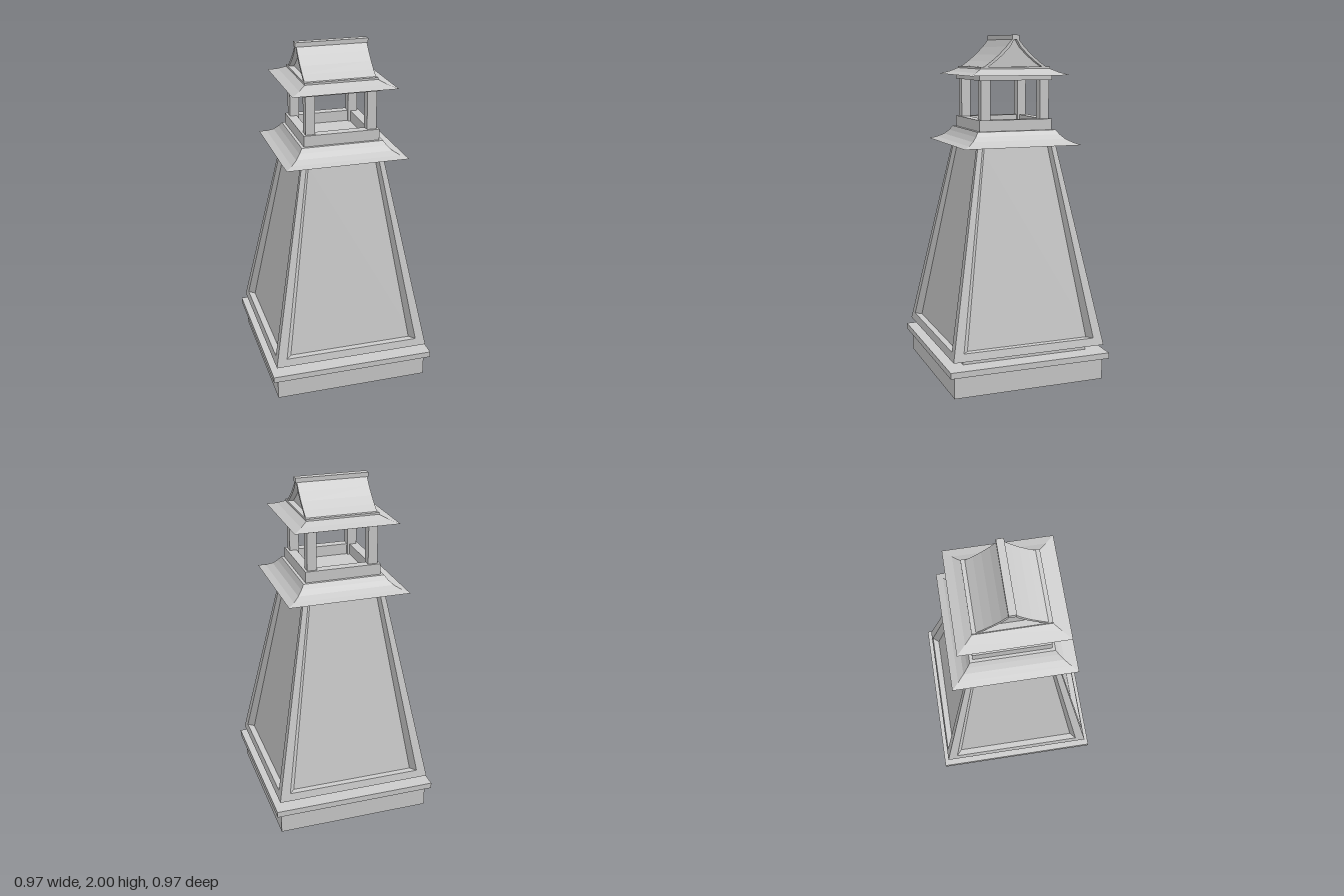
import * as THREE from 'three';

const solid = new THREE.MeshStandardMaterial({ color: 0xcccccc, flatShading: true });
const thin = new THREE.MeshStandardMaterial({ color: 0xcccccc, flatShading: true, side: THREE.DoubleSide });

// Square part from [half width, height] points, listed upwards on the outside
function square(name, profile, material = solid) {
  const points = profile.map(([h, y]) => new THREE.Vector2(h * Math.SQRT2, y));
  const geometry = new THREE.LatheGeometry(points, 4, Math.PI / 4).toNonIndexed();
  geometry.computeVertexNormals();
  const mesh = new THREE.Mesh(geometry, material);
  mesh.name = name;
  return mesh;
}

// Square ring with straight walls
const ring = (name, outer, inner, y0, y1) =>
  square(name, [[inner, y0], [outer, y0], [outer, y1], [inner, y1], [inner, y0]]);

function box(name, w, h, d, x, y, z) {
  const mesh = new THREE.Mesh(new THREE.BoxGeometry(w, h, d), solid);
  mesh.position.set(x, y, z);
  mesh.name = name;
  return mesh;
}

// Profile given as [z, y] points, extruded along x and centred
function alongX(name, points, length) {
  const shape = new THREE.Shape(points.map(([z, y]) => new THREE.Vector2(z, y)));
  const geometry = new THREE.ExtrudeGeometry(shape, { depth: length, bevelEnabled: false });
  geometry.translate(0, 0, -length / 2).rotateY(Math.PI / 2);
  const mesh = new THREE.Mesh(geometry, solid);
  mesh.name = name;
  return mesh;
}

// Half width of the tapering tower at height y
const BOTTOM = 0.21, TOP = 1.385;
const taper = y => THREE.MathUtils.mapLinear(y, BOTTOM, TOP, 0.46, 0.236);

// L-shaped corner post that shrinks with the taper
function cornerPost() {
  const outline = [[1, 1], [0.88, 1], [0.81, 0.92], [0.92, 0.92], [0.92, 0.81], [1, 0.88]];
  const shape = new THREE.Shape(outline.map(([x, y]) => new THREE.Vector2(x, y)));
  const geometry = new THREE.ExtrudeGeometry(shape, { depth: TOP - BOTTOM, bevelEnabled: false });
  geometry.rotateX(-Math.PI / 2).translate(0, BOTTOM, 0);
  const p = geometry.attributes.position;
  for (let i = 0; i < p.count; i++) {
    const s = taper(p.getY(i));
    p.setXYZ(i, p.getX(i) * s, p.getY(i), p.getZ(i) * s);
  }
  geometry.computeVertexNormals();
  return new THREE.Mesh(geometry, solid);
}

export function createModel() {
  const model = new THREE.Group();
  model.name = 'bellTower';

  // Hollow plinth
  model.add(square('plinth', [[0.455, 0], [0.455, 0.13]], thin));
  model.add(ring('plinthSlab', 0.485, 0.38, 0.13, 0.165));
  model.add(square('plinthNeck', [[0.38, 0.165], [0.38, 0.21]], thin));

  // Tapering body with recessed panels, bottom rail and corner posts
  const railTop = 0.255;
  model.add(square('panels', [[taper(BOTTOM) * 0.92, BOTTOM], [taper(TOP) * 0.92, TOP]], thin));
  model.add(square('bottomRail', [
    [0.38, BOTTOM], [taper(BOTTOM), BOTTOM], [taper(railTop), railTop],
    [taper(railTop) * 0.92, railTop],
  ], thin));
  for (let i = 0; i < 4; i++) {
    const post = cornerPost();
    post.name = 'cornerPost';
    post.rotation.y = i * Math.PI / 2;
    model.add(post);
  }

  // Flared skirt roof
  model.add(square('skirtRoof', [
    [0, 1.38], [0.353, 1.38], [0.315, 1.393], [0.28, 1.412], [0.255, 1.437], [0.237, 1.462], [0, 1.462],
  ]));

  // Open belfry
  model.add(ring('belfryCurb', 0.22, 0.165, 1.46, 1.525));
  for (const x of [-1, 1]) for (const z of [-1, 1])
    model.add(box('belfryPost', 0.055, 0.29, 0.055, x * 0.1785, 1.607, z * 0.1785));
  model.add(ring('belfryBeam', 0.22, 0.15, 1.747, 1.778));

  // Upper eaves
  model.add(square('upperEaves', [
    [0, 1.775], [0.3, 1.775], [0.25, 1.791], [0.21, 1.811], [0.21, 1.822], [0, 1.822],
  ]));

  // Gabled cap with inset end walls and a ridge
  const slope = [[0.19, 1.82], [0.145, 1.852], [0.1, 1.889], [0.055, 1.934], [0.015, 1.982]];
  const mirror = pts => pts.map(([z, y]) => [-z, y]).reverse();
  const outer = [...slope, ...mirror(slope)];
  const under = slope.map(([z, y]) => [Math.max(z - 0.022, 0.004), y - 0.002]);
  const inner = [...under, ...mirror(under)];
  model.add(alongX('gableRoof', [...outer, ...inner.slice().reverse()], 0.41));
  model.add(alongX('gableWalls', inner, 0.35));
  model.add(box('ridgeCap', 0.424, 0.026, 0.042, 0, 1.987, 0));

  return model;
}
